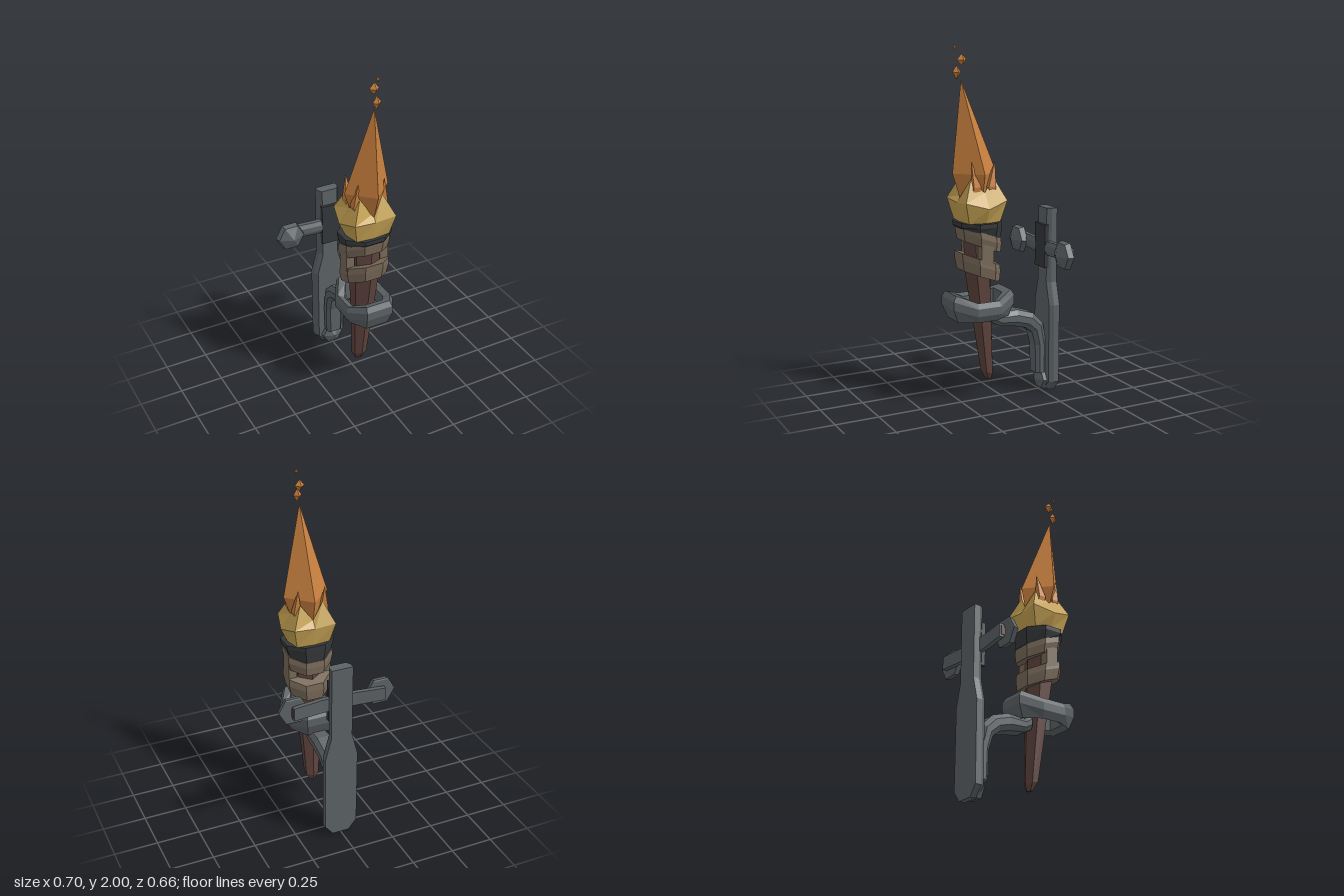
import * as THREE from 'three';

const mat = (name, color) => {
  const m = new THREE.MeshStandardMaterial({ color });
  m.name = name;
  return m;
};

// Flat-faced skin through matching cross-sections; capped, or looped into a ring.
function loft(sections, loop = false) {
  const pos = [];
  const n = sections[0].length;
  const tri = (a, b, c) => pos.push(...a, ...b, ...c);
  const last = loop ? sections.length : sections.length - 1;
  for (let i = 0; i < last; i++) {
    const A = sections[i], B = sections[(i + 1) % sections.length];
    for (let j = 0; j < n; j++) {
      const k = (j + 1) % n;
      tri(A[j], A[k], B[k]);
      tri(A[j], B[k], B[j]);
    }
  }
  if (!loop) {
    const cap = (s, flip) => {
      const c = [0, 1, 2].map(a => s.reduce((t, p) => t + p[a], 0) / n);
      for (let j = 0; j < n; j++) {
        const p = s[j], q = s[(j + 1) % n];
        flip ? tri(c, q, p) : tri(c, p, q);
      }
    };
    cap(sections[0], true);
    cap(sections[sections.length - 1], false);
  }
  // turn the faces outward if the enclosed volume is negative
  let vol = 0;
  const a = new THREE.Vector3(), b = new THREE.Vector3(), c = new THREE.Vector3();
  for (let i = 0; i < pos.length; i += 9) {
    a.fromArray(pos, i); b.fromArray(pos, i + 3); c.fromArray(pos, i + 6);
    vol += a.dot(b.cross(c));
  }
  if (vol < 0) {
    for (let i = 0; i < pos.length; i += 9) {
      for (let k = 0; k < 3; k++) {
        [pos[i + 3 + k], pos[i + 6 + k]] = [pos[i + 6 + k], pos[i + 3 + k]];
      }
    }
  }
  const g = new THREE.BufferGeometry();
  g.setAttribute('position', new THREE.Float32BufferAttribute(pos, 3));
  g.computeVertexNormals();
  return g;
}

// Horizontal polygon with a y that may slope along z.
const polygon = (n, rx, rz, cz, y, slope = 0, turn = 0) =>
  Array.from({ length: n }, (_, i) => {
    const t = turn + (i / n) * Math.PI * 2;
    const z = Math.cos(t) * rz;
    return [Math.sin(t) * rx, y + slope * z, cz + z];
  });

export function createModel() {
  const model = new THREE.Group();
  const iron = mat('iron', 0x5c6265);
  const darkIron = mat('dark iron', 0x34373a);
  const wood = mat('wood', 0x5e433d);
  const cloth = mat('cloth wrap', 0x796a59);
  const gold = mat('yellow flame', 0xc5a253);
  const orange = mat('orange flame', 0xc9803f);
  const add = (name, geometry, material, x = 0, y = 0, z = 0) => {
    const g = geometry.index ? geometry.toNonIndexed() : geometry;
    g.computeVertexNormals();
    const m = new THREE.Mesh(g, material);
    m.name = name;
    m.position.set(x, y, z);
    model.add(m);
    return m;
  };

  // Wall plate, wide below and narrow above, front edge chamfered
  const half = [[0.05, 0], [0.098, 0.06], [0.098, 0.52], [0.063, 0.65], [0.063, 1.08]];
  const outline = [...half, ...half.slice().reverse().map(([x, y]) => [-x, y])];
  const plateAt = (z, inset) => outline.map(([x, y]) =>
    [x - Math.sign(x) * inset, y === 0 ? inset : y, z]);
  add('wallPlate', loft([plateAt(-0.33, 0), plateAt(-0.295, 0), plateAt(-0.27, 0.015)]), iron);
  add('plateStrap', new THREE.BoxGeometry(0.115, 0.25, 0.025), darkIron, 0, 0.86, -0.266);

  // Bolt heads: hexagonal low cones facing forward
  const bolt = (name, x, y, z, r, depth) => {
    const hex = (s, d) => Array.from({ length: 6 }, (_, i) => {
      const t = (i / 6) * Math.PI * 2;
      return [x + Math.cos(t) * r * s, y + Math.sin(t) * r * s, z + d * depth];
    });
    add(name, loft([hex(0.9, 0), hex(1, 0.05), hex(0.9, 0.52), hex(0.03, 1)]), iron);
  };
  bolt('footBolt', 0, 0.065, -0.28, 0.07, 0.06);

  // Crossbar, swept back at both ends, with a knob on each
  const barAt = (x, z, h) => [
    [x, 0.85 - h, z - 0.018], [x, 0.85 + h, z - 0.018],
    [x, 0.85 + h, z + 0.008], [x, 0.85 + h * 0.4, z + 0.02],
    [x, 0.85 - h * 0.4, z + 0.02], [x, 0.85 - h, z + 0.008]];
  add('crossbar', loft([barAt(-0.275, -0.295, 0.038), barAt(-0.1, -0.276, 0.04),
    barAt(0.1, -0.276, 0.04), barAt(0.275, -0.295, 0.038)]), iron);
  for (const s of [-1, 1]) {
    bolt(s > 0 ? 'leftKnob' : 'rightKnob', s * 0.262, 0.85, -0.275, 0.087, 0.07);
    add('barEnd', new THREE.BoxGeometry(0.004, 0.05, 0.022), wood, s * 0.276, 0.85, -0.293);
  }

  // Curved arm: pairs of outer and inner side points [z, y]
  const armPath = [
    [[-0.28, 0.11], [-0.212, 0.11], 0.05], [[-0.28, 0.28], [-0.208, 0.28], 0.053],
    [[-0.255, 0.41], [-0.185, 0.36], 0.058], [[-0.19, 0.475], [-0.14, 0.395], 0.061],
    [[-0.09, 0.507], [-0.075, 0.412], 0.061], [[0.02, 0.5], [0.02, 0.425], 0.056],
    [[0.06, 0.53], [0.07, 0.45], 0.05]];
  add('arm', loft(armPath.map(([o, i, w]) => {
    const at = (x, t) => [x, o[1] + (i[1] - o[1]) * t, o[0] + (i[0] - o[0]) * t];
    return [at(-w * 0.65, 0), at(w * 0.65, 0), at(w, 0.3), at(w, 0.7),
      at(w * 0.65, 1), at(-w * 0.65, 1), at(-w, 0.7), at(-w, 0.3)];
  })), iron);

  // Holder ring: eight-sided, taller at front and back
  const corners = [[0.08, -0.187], [0.148, -0.072], [0.148, 0.072], [0.08, 0.187],
    [-0.08, 0.187], [-0.148, 0.072], [-0.148, -0.072], [-0.08, -0.187]];
  add('holderRing', loft(corners.map(([x, z]) => {
    const end = Math.abs(z) > 0.1;
    const top = end ? 0.643 : 0.603;
    const mid = end ? 0.565 : 0.53;
    const at = (s, y) => [x * s, y, 0.143 + z * s];
    return [at(0.64, 0.51), at(0.84, 0.49), at(1, mid), at(1, top - 0.03),
      at(0.9, top), at(0.66, top - 0.015)];
  }), true), iron);

  // Tilted wooden handle
  add('handle', loft([
    polygon(6, 0.02, 0.018, 0.082, 0.115, 0.3),
    polygon(6, 0.045, 0.038, 0.09, 0.16, 0.3),
    polygon(6, 0.085, 0.078, 0.145, 0.75),
    polygon(6, 0.085, 0.08, 0.155, 1.0)]), wood);

  // Two sloping cloth bands joined at the sides
  const turn = Math.PI / 8;
  const band = (name, y, cz, h, r) => add(name, loft([
    polygon(8, r - 0.012, 0.118, cz - 0.003, y - h, 0.36, turn),
    polygon(8, r, 0.125, cz, y + h * 0.2, 0.36, turn),
    polygon(8, r - 0.003, 0.125, cz + 0.003, y + h, 0.36, turn)]), cloth);
  band('upperWrap', 0.94, 0.14, 0.042, 0.148);
  band('lowerWrap', 0.782, 0.145, 0.05, 0.142);
  for (const s of [-1, 1]) {
    add('wrapJoin', new THREE.BoxGeometry(0.05, 0.13, 0.075), cloth, s * 0.105, 0.86, 0.145);
  }

  // Dark collar with a sloping underside
  add('collar', loft([
    polygon(8, 0.138, 0.128, 0.145, 0.976, 0.29, turn),
    polygon(8, 0.155, 0.134, 0.146, 1.018, 0, turn),
    polygon(8, 0.155, 0.134, 0.146, 1.042, 0, turn)]), darkIron);

  // Yellow flame cup: four corner tongues with points between
  const cz = 0.148;
  const square = (cx, cornerZ, cy, mx, mz, sideY, frontY) => [[0, 1], [1, 1], [1, 0], [1, -1],
    [0, -1], [-1, -1], [-1, 0], [-1, 1]].map(([x, z]) =>
    x && z ? [x * cx, cy, cz + z * cornerZ]
      : x ? [x * mx, sideY, cz] : [0, frontY, cz + z * mz]);
  add('flameCup', loft([
    square(0.1, 0.095, 1.042, 0.12, 0.105, 1.042, 1.042),
    square(0.125, 0.125, 1.16, 0.158, 0.122, 1.125, 1.15),
    square(0.068, 0.068, 1.285, 0.1, 0.09, 1.21, 1.19),
    square(0.03, 0.03, 1.17, 0.03, 0.03, 1.17, 1.17)]), gold);

  // Main flame: four-sided, tip leaning forward
  add('flame', loft([
    polygon(4, 0.085, 0.095, 0.155, 1.17),
    polygon(4, 0.133, 0.132, 0.163, 1.31),
    polygon(4, 0.001, 0.001, 0.24, 1.81)]), orange);

  // Small flame tongues around it
  for (const x of [-1, 1]) for (const z of [-1, 1]) {
    const ring = (r, px, pz, y) =>
      polygon(4, r, r, cz + z * pz, y, 0, Math.PI / 4).map(p => [p[0] + x * px, p[1], p[2]]);
    add('flameTongue', loft([ring(0.03, 0.07, 0.055, 1.17),
      ring(0.03, 0.082, 0.045, 1.24), ring(0.001, 0.08, 0.07, 1.375)]), orange);
  }

  // Sparks above the tip
  for (const [y, z, r, h] of [[1.855, 0.265, 0.025, 0.04],
    [1.92, 0.235, 0.029, 0.034], [1.985, 0.275, 0.011, 0.015]]) {
    add('spark', new THREE.OctahedronGeometry(1).scale(r, h, r), orange, 0, y, z);
  }
  return model;
}
